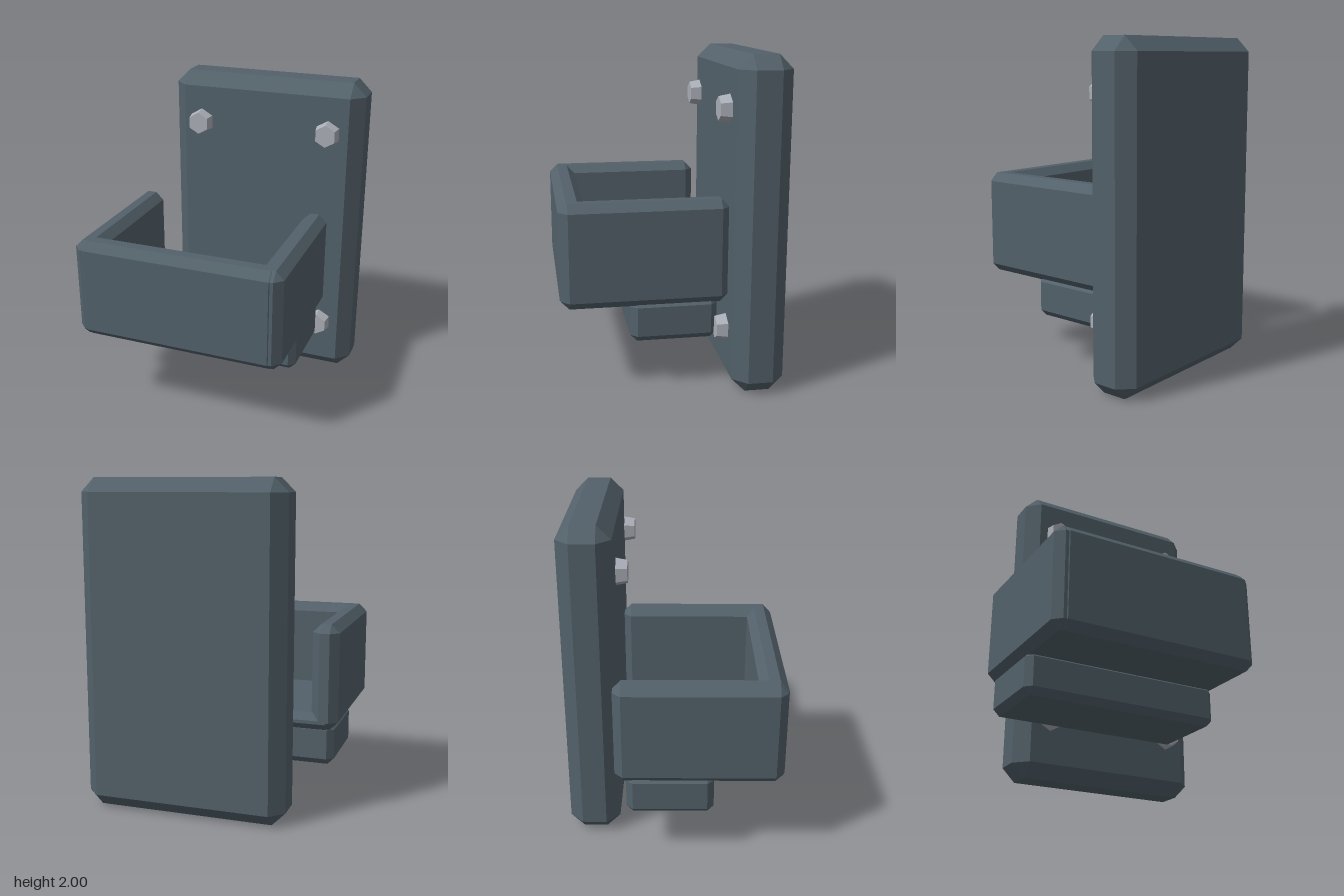
import * as THREE from 'three';
import { ConvexGeometry } from 'three/addons/geometries/ConvexGeometry.js';

// Box between two corners with every edge cut at 45 degrees
function chamferBox(min, max, c) {
  const centre = min.map((v, i) => (v + max[i]) / 2);
  const half = min.map((v, i) => (max[i] - v) / 2);
  const points = [];
  for (const sx of [-1, 1]) for (const sy of [-1, 1]) for (const sz of [-1, 1]) {
    const sign = [sx, sy, sz];
    // each corner becomes three points, one on each adjoining face
    for (let face = 0; face < 3; face++) {
      const p = sign.map((s, i) => centre[i] + s * (half[i] - (i === face ? 0 : c)));
      points.push(new THREE.Vector3(...p));
    }
  }
  return new ConvexGeometry(points);
}

export function createModel() {
  const model = new THREE.Group();
  model.name = 'wallBracket';
  const steel = new THREE.MeshStandardMaterial({ color: 0x53616a, flatShading: true });
  const bright = new THREE.MeshStandardMaterial({ color: 0xaaaeb6, flatShading: true });

  function addBlock(parent, name, min, max, chamfer) {
    const mesh = new THREE.Mesh(chamferBox(min, max, chamfer), steel);
    mesh.name = name;
    parent.add(mesh);
  }

  // Upright plate at the back
  addBlock(model, 'backPlate', [-0.51, 0, -0.66], [0.75, 2, -0.345], 0.083);

  // Open-backed tray: floor, two sides and a front
  const tray = new THREE.Group();
  tray.name = 'tray';
  model.add(tray);
  addBlock(tray, 'trayFloor', [-0.72, 0.525, -0.35], [0.54, 0.625, 0.63], 0.04);
  addBlock(tray, 'rightWall', [-0.75, 0.525, -0.35], [-0.59, 1.16, 0.65], 0.05);
  addBlock(tray, 'leftWall', [0.41, 0.525, -0.35], [0.57, 1.16, 0.65], 0.05);
  addBlock(tray, 'frontWall', [-0.725, 0.525, 0.49], [0.545, 1.16, 0.655], 0.05);

  // Support bar under the tray
  addBlock(model, 'supportBar', [-0.72, 0.295, -0.285], [0.54, 0.555, 0.24], 0.04);

  // Four tapered hexagonal bolts, standing just off the plate
  const boltGeometry = new THREE.CylinderGeometry(0.07, 0.083, 0.067, 6);
  boltGeometry.rotateX(Math.PI / 2);
  for (const x of [-0.305, 0.54]) for (const y of [0.372, 1.69]) {
    const bolt = new THREE.Mesh(boltGeometry, bright);
    bolt.name = 'bolt';
    bolt.position.set(x, y, -0.3);
    model.add(bolt);
  }
  return model;
}
